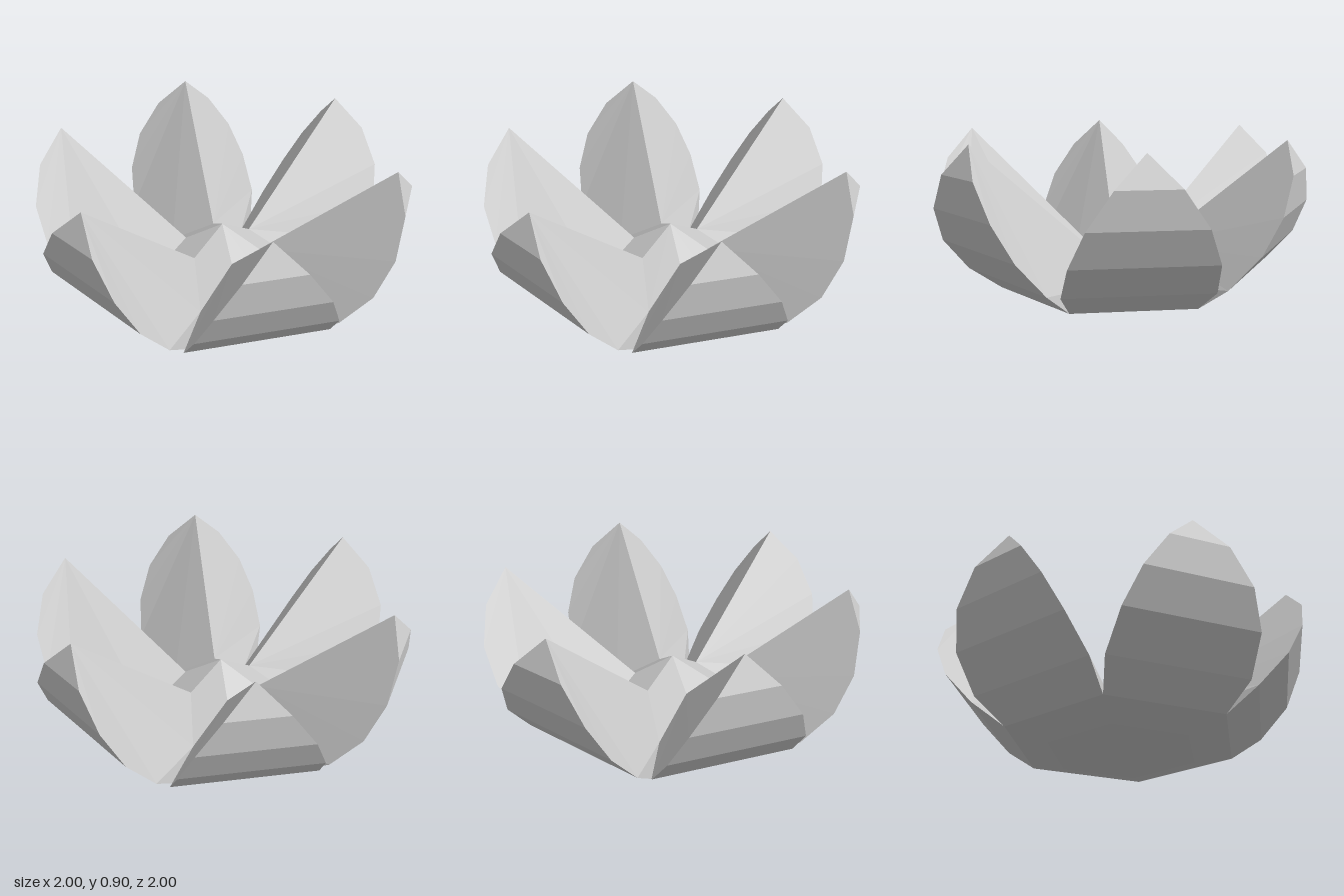
import * as THREE from 'three';

const TAN30 = Math.tan(Math.PI / 6);

// Outer cross-sections of one petal pointing to +x: [radius, height, half width]
const rows = [
  [0.37, 0, 0.37 * TAN30],
  [0.57, 0.055, 0.57 * TAN30],
  [0.74, 0.18, 0.385],
  [0.9, 0.36, 0.365],
  [0.985, 0.55, 0.29],
  [1.0, 0.74, 0.16],
];
const tip = [0.93, 0.9, 0];
const ridgeStart = [0.215, 0.3, 0];
const valley = [0.372, 0.13, 0.372 * TAN30]; // shared by neighbouring petals
const peak = [0, 0.43, 0];

const mirror = ([x, y, z]) => [x, y, -z];

// Collects polygons as triangle fans
function facets() {
  const data = [];
  const face = (...p) => {
    for (let i = 1; i < p.length - 1; i++) data.push(...p[0], ...p[i], ...p[i + 1]);
  };
  return {
    face,
    // the same polygon on both halves of the wedge
    both(...p) {
      face(...p);
      face(...p.map(mirror).reverse());
    },
    build() {
      const g = new THREE.BufferGeometry();
      g.setAttribute('position', new THREE.Float32BufferAttribute(data, 3));
      g.computeVertexNormals();
      return g;
    },
  };
}

function petalGeometry() {
  const f = facets();
  const right = rows.map(([r, y, w]) => [r, y, w]);
  const left = right.map(mirror);
  // curved back made of flat bands, ending in a point
  for (let i = 0; i < rows.length - 1; i++) f.face(left[i], left[i + 1], right[i + 1], right[i]);
  f.face(left[5], tip, right[5]);
  // ridged upper side
  f.both(ridgeStart, valley, ...right.slice(2), tip);
  // small facet down to the notch between petals
  f.both(valley, right[1], right[2]);
  return f.build();
}

function centreGeometry() {
  const f = facets();
  f.both(peak, valley, ridgeStart);
  return f.build();
}

function baseGeometry() {
  const f = facets();
  const middle = [0, 0.02, 0];
  const inner = [0.19, 0.012, 0.19 * TAN30];
  const outer = rows[0];
  f.face(middle, mirror(inner), inner);
  f.face(mirror(inner), mirror(outer), outer, inner);
  return f.build();
}

export function createModel() {
  const model = new THREE.Group();
  model.name = 'flower';
  const material = new THREE.MeshStandardMaterial({ color: 0xcccccc, flatShading: true });
  const parts = { petal: petalGeometry(), centre: centreGeometry(), base: baseGeometry() };

  // six identical wedges around the axis
  for (const [name, geometry] of Object.entries(parts)) {
    const ring = new THREE.Group();
    ring.name = name + 'Ring';
    for (let i = 0; i < 6; i++) {
      const mesh = new THREE.Mesh(geometry, material);
      mesh.name = name + (i + 1);
      mesh.rotation.y = (i * Math.PI) / 3;
      ring.add(mesh);
    }
    model.add(ring);
  }
  return model;
}
